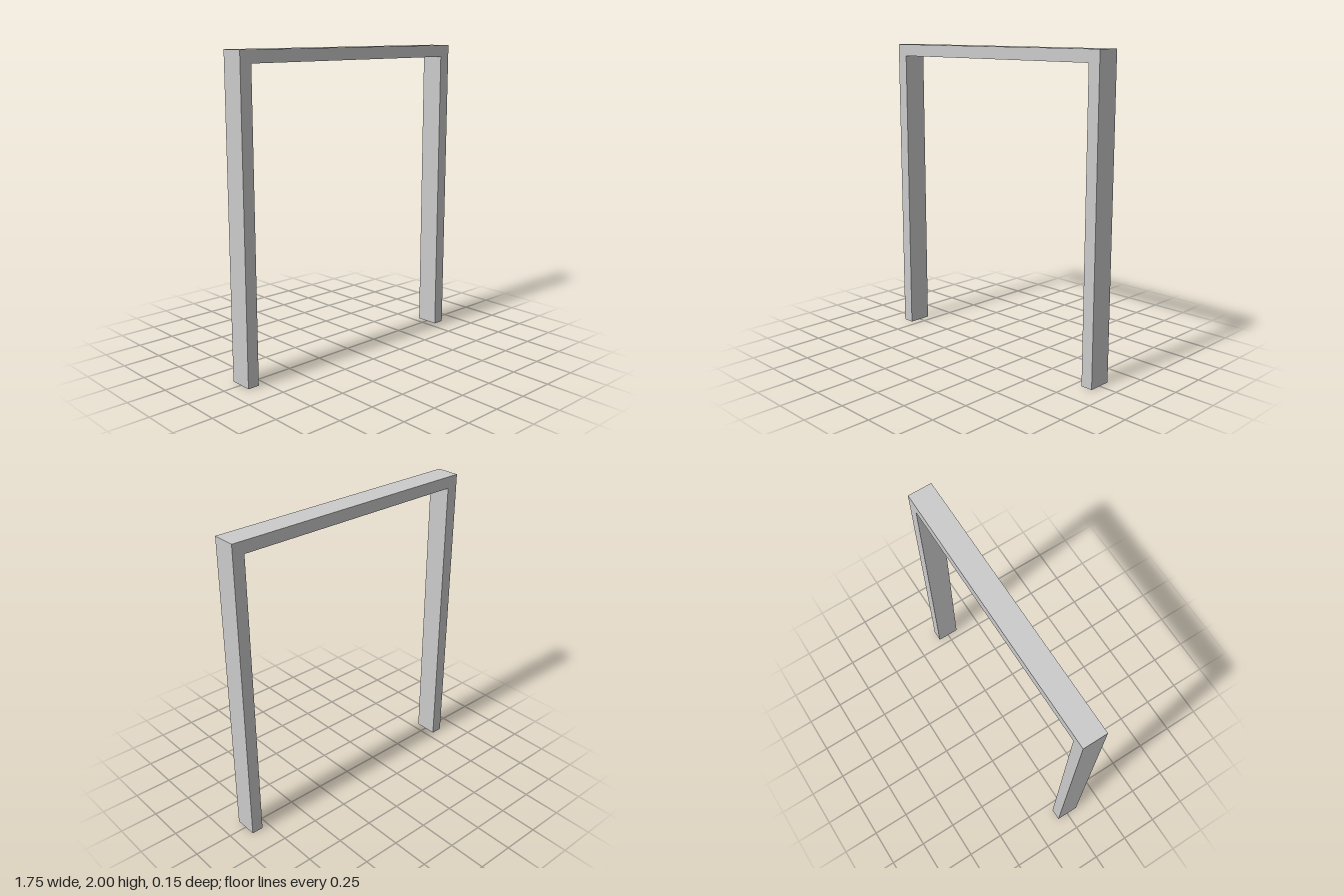
import * as THREE from 'three';

const HALF_WIDTH = 0.877;
const HEIGHT = 2;
const THICKNESS = 0.077;
const DEPTH = 0.154;

export function createModel() {
  const group = new THREE.Group();
  group.name = 'doorFrame';

  // Two jambs and the head as one continuous outline, open at the bottom
  const inner = HALF_WIDTH - THICKNESS;
  const head = HEIGHT - THICKNESS;
  const outline = new THREE.Shape([
    [-HALF_WIDTH, 0], [-inner, 0], [-inner, head], [inner, head],
    [inner, 0], [HALF_WIDTH, 0], [HALF_WIDTH, HEIGHT], [-HALF_WIDTH, HEIGHT],
  ].map(([x, y]) => new THREE.Vector2(x, y)));

  const geometry = new THREE.ExtrudeGeometry(outline, { depth: DEPTH, bevelEnabled: false });
  geometry.translate(0, 0, -DEPTH / 2);

  const frame = new THREE.Mesh(geometry, new THREE.MeshStandardMaterial({ color: 0xcccccc }));
  frame.name = 'frame';
  group.add(frame);
  return group;
}
